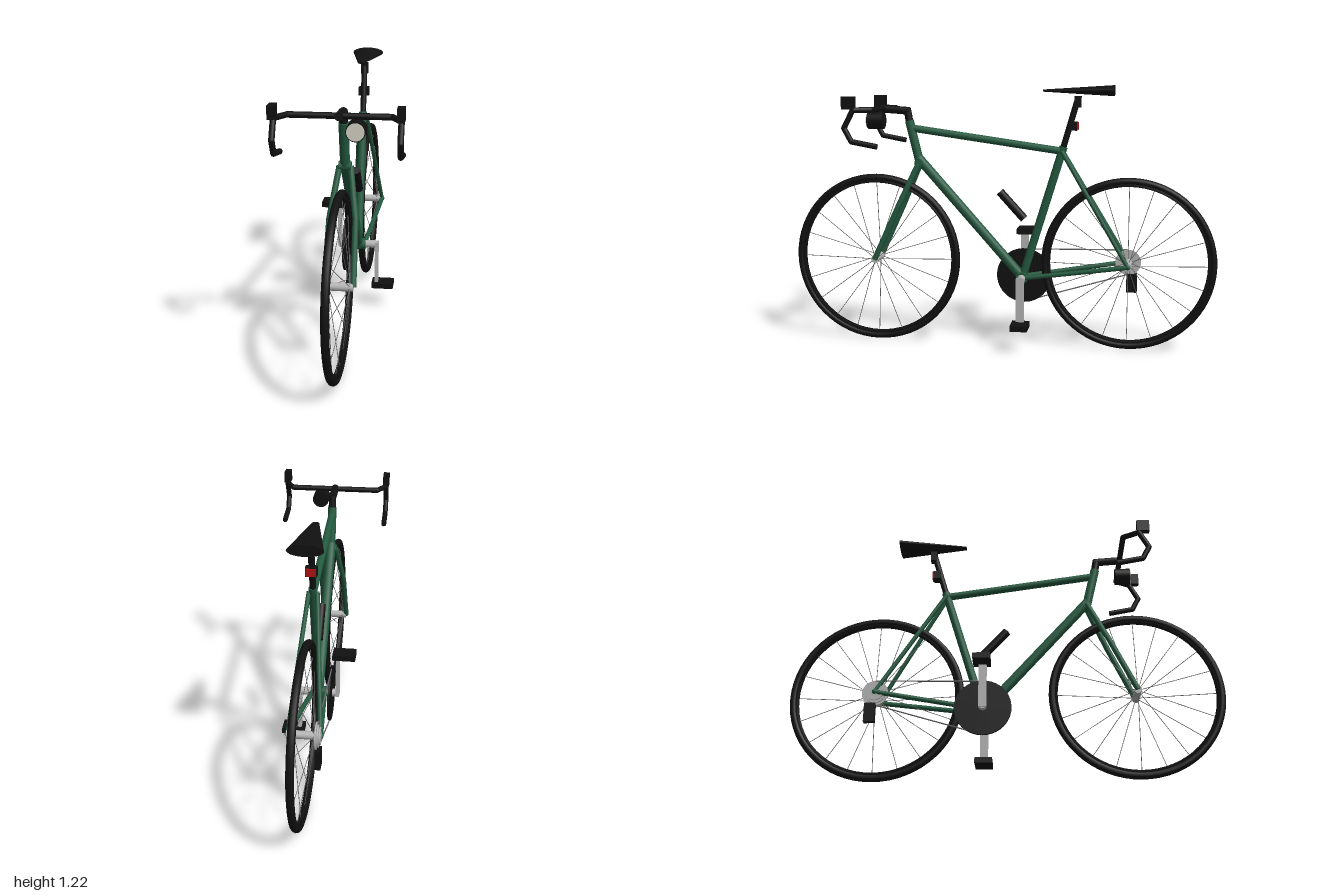
import * as THREE from 'three';

const mat = (name, color, extra = {}) => Object.assign(new THREE.MeshStandardMaterial({ color, ...extra }), { name });

export function createModel() {
  const model = new THREE.Group();
  model.name = 'roadBicycle';
  const green = mat('frame green', 0x245a40);
  const black = mat('black', 0x111111);
  const silver = mat('silver', 0xb4b4b4);
  const steel = mat('spoke steel', 0x6a6a6a);
  const cream = mat('lamp glass', 0xd6d2c4);
  const red = mat('tail lamp red', 0xb01414);

  const V = (p) => new THREE.Vector3(...p);
  const add = (name, geo, material, pos = [0, 0, 0], parent = model) => {
    const m = new THREE.Mesh(geo, material);
    m.name = name;
    m.position.set(...pos);
    parent.add(m);
    return m;
  };
  // Straight round bar from a to b, with an optional taper
  const rod = (name, a, b, r, material, parent = model, r2 = r, sides = 14) => {
    const A = V(a), B = V(b), d = B.clone().sub(A);
    const m = add(name, new THREE.CylinderGeometry(r2, r, d.length(), sides), material,
      A.clone().add(B).multiplyScalar(0.5).toArray(), parent);
    m.quaternion.setFromUnitVectors(new THREE.Vector3(0, 1, 0), d.normalize());
    return m;
  };
  // Chain of rods with ball joints
  const path = (name, pts, r, material) => {
    for (let i = 0; i < pts.length - 1; i++) {
      rod(name, pts[i], pts[i + 1], r, material);
      if (i > 0) add(name + 'Bend', new THREE.SphereGeometry(r, 14, 10), material, pts[i]);
    }
  };
  const box = (name, w, h, d, material, pos) => add(name, new THREE.BoxGeometry(w, h, d), material, pos);

  const AXLE_Y = 0.404, AXLE_Z = 0.597;
  const crank = [0, 0.328, -0.105];
  const headTop = [0, 1.06, 0.432], headLow = [0, 0.865, 0.385];
  const seatTop = [0, 0.945, -0.293];

  // Wheels: tyre, rim, hub and laced spokes
  const makeWheel = (name, z, hubHalf) => {
    const wheel = new THREE.Group();
    wheel.name = name;
    wheel.position.set(0, AXLE_Y, z);
    model.add(wheel);
    add('tyre', new THREE.TorusGeometry(0.386, 0.017, 12, 64).rotateY(Math.PI / 2), black, [0, 0, 0], wheel);
    const rim = [[0.362, -0.009], [0.38, -0.013], [0.38, 0.013], [0.362, 0.009], [0.362, -0.009]]
      .map(([x, y]) => new THREE.Vector2(x, y));
    add('rim', new THREE.LatheGeometry(rim, 64).rotateZ(Math.PI / 2), black, [0, 0, 0], wheel);
    rod('hub', [-hubHalf, 0, 0], [hubHalf, 0, 0], 0.018, silver, wheel);
    for (let i = 0; i < 20; i++) {
      const a = (i / 20) * Math.PI * 2, side = i % 2 ? 1 : -1;
      rod('spoke', [side * 0.045, 0.016 * Math.cos(a), 0.016 * Math.sin(a)],
        [0, 0.365 * Math.cos(a), 0.365 * Math.sin(a)], 0.0016, steel, wheel, 0.0016, 5);
    }
    return wheel;
  };
  makeWheel('frontWheel', AXLE_Z, 0.06);
  const rear = makeWheel('rearWheel', -AXLE_Z, 0.075);

  // Sprocket stack on the right of the rear hub
  [0.06, 0.05, 0.04].forEach((r, i) => {
    const x = -0.05 - i * 0.008;
    rod('sprocket', [x, 0, 0], [x - 0.006, 0, 0], r, silver, rear, r, 24);
  });

  // Main frame tubes
  rod('headTube', headLow, headTop, 0.021, green);
  rod('topTube', [0, 1.025, 0.42], [0, 0.925, -0.285], 0.017, green);
  rod('downTube', [0, 0.885, 0.39], crank, 0.023, green);
  rod('seatTube', crank, seatTop, 0.019, green);
  rod('bottomBracketShell', [-0.035, 0.328, -0.105], [0.035, 0.328, -0.105], 0.028, green);
  rod('forkCrown', [-0.027, 0.862, 0.385], [0.027, 0.862, 0.385], 0.02, green);

  // Mirrored fork blades and rear stays
  for (const s of [-1, 1]) {
    path('forkBlade', [[s * 0.024, 0.862, 0.385], [s * 0.055, 0.66, 0.478], [s * 0.06, AXLE_Y, AXLE_Z]], 0.013, green);
    rod('chainStay', [s * 0.03, 0.33, -0.115], [s * 0.07, AXLE_Y, -AXLE_Z], 0.011, green);
    rod('seatStay', [s * 0.018, 0.925, -0.287], [s * 0.07, AXLE_Y, -AXLE_Z], 0.01, green);
    add('rearDropout', new THREE.SphereGeometry(0.013, 12, 8), green, [s * 0.07, AXLE_Y, -AXLE_Z]);
  }

  // Seat post, clamp and tapered saddle
  rod('seatPost', seatTop, [0, 1.16, -0.355], 0.014, black);
  box('saddleClamp', 0.035, 0.05, 0.03, black, [0, 1.15, -0.357]);
  const saddleGeo = new THREE.CylinderGeometry(0.015, 0.075, 0.325, 28, 8).rotateX(Math.PI / 2).scale(1, 0.33, 1);
  add('saddle', saddleGeo, black, [0, 1.2, -0.36]);

  // Tail lamp on the seat post
  box('tailLampCase', 0.05, 0.04, 0.034, black, [0, 1.04, -0.338]);
  box('tailLampLens', 0.044, 0.034, 0.006, red, [0, 1.04, -0.358]);

  // Stem and drop handlebar
  rod('steerer', headTop, [0, 1.115, 0.442], 0.018, black);
  rod('stem', [0, 1.105, 0.43], [0, 1.115, 0.57], 0.018, black);
  path('handlebar', [[-0.21, 1.115, 0.555], [0.21, 1.115, 0.555]], 0.013, black);
  for (const s of [-1, 1]) {
    path('barDrop', [[0, 1.115, 0.555], [s * 0.21, 1.115, 0.555], [s * 0.25, 1.115, 0.625],
      [s * 0.25, 1.035, 0.667], [s * 0.25, 0.975, 0.635], [s * 0.25, 0.953, 0.517]], 0.0125, black);
    box('brakeHood', 0.03, 0.056, 0.058, black, [s * 0.25, 1.146, 0.645]);
  }

  // Head lamp beside the stem
  rod('headLampCase', [0.07, 1.063, 0.535], [0.07, 1.063, 0.608], 0.04, black, model, 0.04, 28);
  rod('headLampLens', [0.07, 1.063, 0.606], [0.07, 1.063, 0.612], 0.036, cream, model, 0.036, 28);
  rod('headLampBracket', [0.07, 1.08, 0.555], [0.07, 1.115, 0.555], 0.01, black);

  // Cranks, pedals and chainring
  rod('crankAxle', [-0.092, 0.328, -0.105], [0.092, 0.328, -0.105], 0.019, silver);
  for (const s of [-1, 1]) {
    box('crankArm', 0.016, 0.23, 0.037, silver, [s * 0.09, 0.328 - s * 0.103, -0.105]);
    box('pedal', 0.105, 0.026, 0.08, black, [s * 0.12, 0.328 - s * 0.206, -0.108]);
  }
  rod('chainring', [-0.054, 0.325, -0.105], [-0.065, 0.325, -0.105], 0.13, black, model, 0.13, 40);

  // Chain runs and rear derailleur
  rod('chainTop', [-0.06, 0.453, -0.105], [-0.06, 0.462, -AXLE_Z], 0.003, steel);
  rod('chainBottom', [-0.06, 0.197, -0.105], [-0.06, 0.345, -AXLE_Z], 0.003, steel);
  box('derailleur', 0.025, 0.09, 0.05, black, [-0.062, 0.305, -0.615]);

  // Bottle inside the main triangle
  rod('bottle', [0, 0.732, 0.002], [0, 0.607, -0.112], 0.02, black);
  return model;
}
